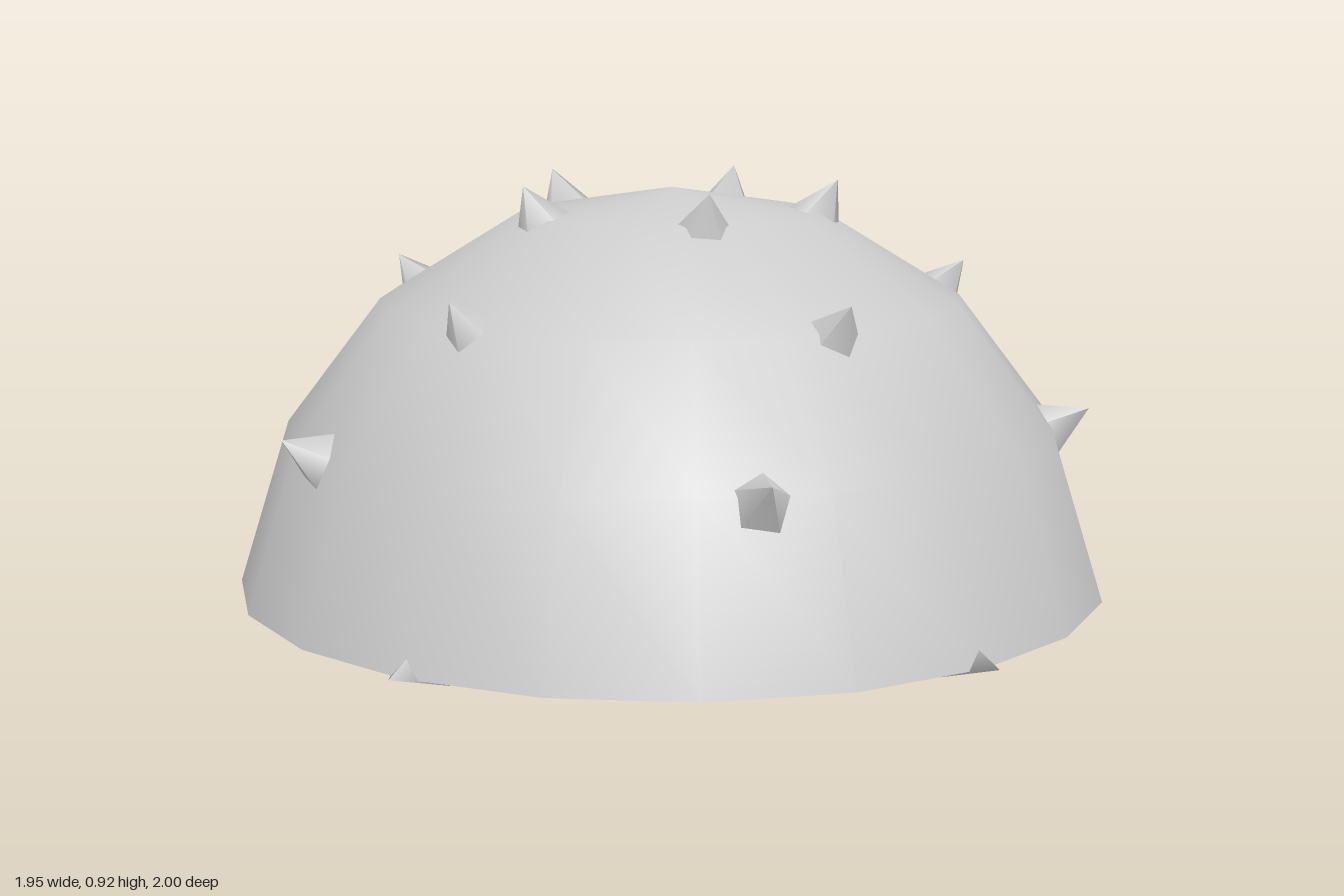
import * as THREE from 'three';

const CENTER_Z = -0.02;

export function createModel() {
  const model = new THREE.Group();
  model.name = 'spikedDome';
  const grey = new THREE.MeshStandardMaterial({ color: 0xcccccc });
  grey.name = 'light grey';

  const body = new THREE.Group();
  body.name = 'body';
  body.position.z = CENTER_Z;
  model.add(body);

  const add = (name, geometry, parent = body) => {
    const mesh = new THREE.Mesh(geometry, grey);
    mesh.name = name;
    parent.add(mesh);
    return mesh;
  };
  const lathe = (points) =>
    new THREE.LatheGeometry(points.map(([r, y]) => new THREE.Vector2(r, y)), 20);

  // Smooth dome shell and its very shallow underside
  add('dome', lathe([[0.975, 0.018], [0.86, 0.385], [0.65, 0.66], [0.34, 0.85], [0, 0.905]]));
  add('underside', lathe([[0, 0], [0.975, 0.018]]));

  // Five-sided spikes in three rings of five, leaning along the dome's normal
  const up = new THREE.Vector3(0, 1, 0);
  const height = 0.12;
  const spikeShape = new THREE.ConeGeometry(0.076, height, 5);
  const rings = [
    { name: 'lowerSpike', radius: 0.85, y: 0.375, tilt: 30, turn: -27.5 },
    { name: 'middleSpike', radius: 0.63, y: 0.65, tilt: 49, turn: -8 },
    { name: 'upperSpike', radius: 0.325, y: 0.84, tilt: 62, turn: -27 },
  ];
  for (const ring of rings) {
    for (let i = 0; i < 5; i++) {
      const angle = THREE.MathUtils.degToRad(ring.turn + i * 72);
      const tilt = THREE.MathUtils.degToRad(ring.tilt);
      const outward = new THREE.Vector3(Math.sin(angle), 0, Math.cos(angle));
      const normal = outward.clone().multiplyScalar(Math.cos(tilt)).addScaledVector(up, Math.sin(tilt));
      const spike = add(ring.name, spikeShape);
      spike.position.copy(outward).multiplyScalar(ring.radius).addScaledVector(up, ring.y);
      spike.position.addScaledVector(normal, height / 2 - 0.025);
      spike.quaternion.setFromUnitVectors(up, normal);
    }
  }

  // Half-buried spikes around the rim: wide three-sided cones pointing outward
  const rimShape = new THREE.ConeGeometry(0.05, 0.1, 3);
  rimShape.rotateX(Math.PI / 2); // tip to +z
  rimShape.rotateZ(Math.PI); // one corner up
  rimShape.computeBoundingBox();
  if (rimShape.boundingBox.max.y < 0.04) rimShape.rotateZ(Math.PI);
  rimShape.scale(1.7, 1, 1);
  for (let i = 0; i < 5; i++) {
    const holder = new THREE.Group();
    holder.name = 'rimSpikeHolder';
    holder.rotation.y = THREE.MathUtils.degToRad(i * 72);
    add('rimSpike', rimShape, holder).position.set(0, 0.027, 0.97);
    body.add(holder);
  }
  return model;
}
